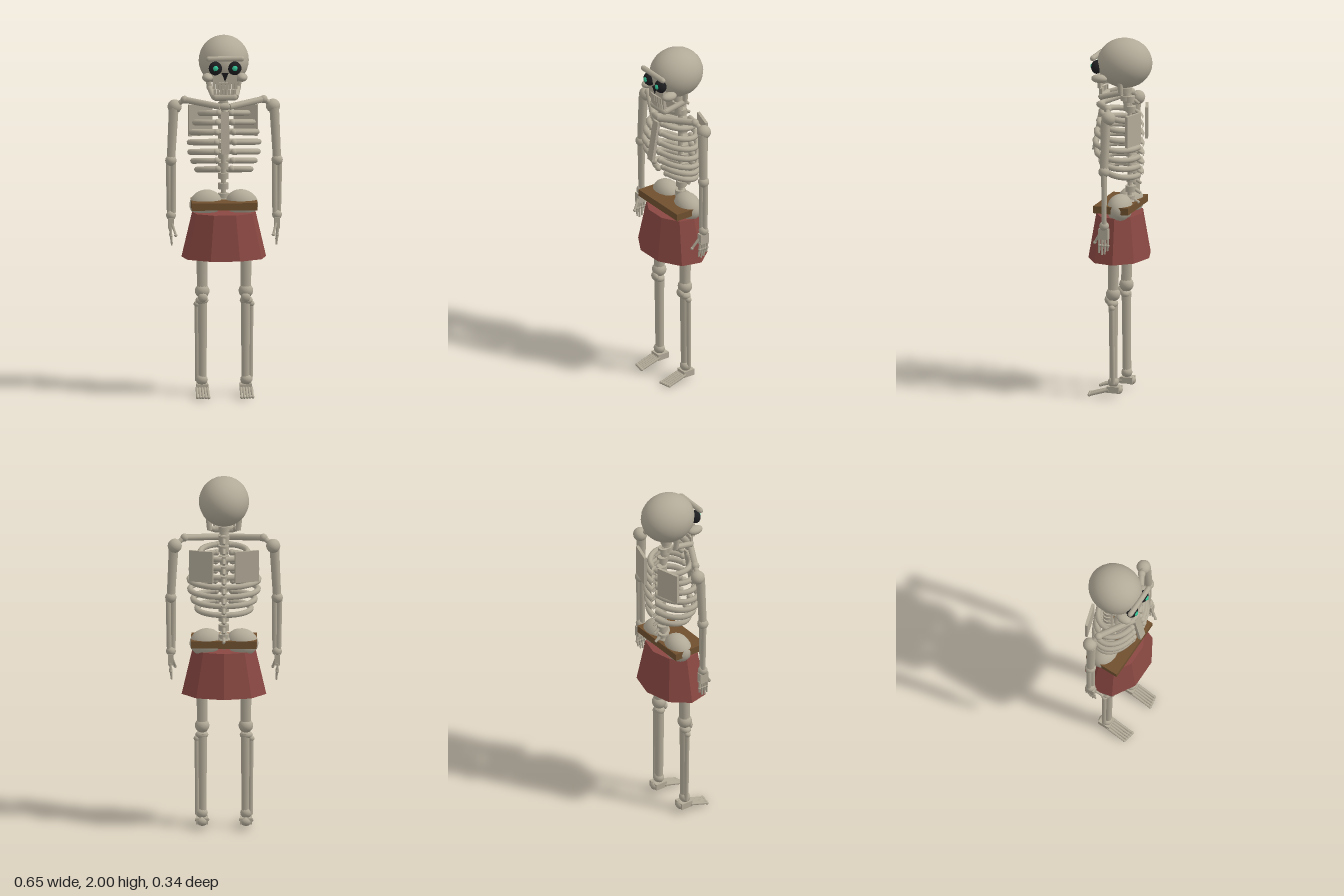
import * as THREE from 'three';

const V = (x, y, z) => new THREE.Vector3(x, y, z);
const mat = (name, color) => Object.assign(new THREE.MeshStandardMaterial({ color }), { name });

export function createModel() {
  const root = new THREE.Group();
  root.name = 'skeleton';
  const bone = mat('bone', 0xb2aa98);
  const dark = mat('socketBlack', 0x1d1d20);
  const glow = mat('eyeGreen', 0x35c295);
  const leather = mat('beltBrown', 0x70502f);
  const cloth = mat('skirtRed', 0x8a4842);
  cloth.flatShading = true;

  function add(name, geo, material, pos, rot = [0, 0, 0], scale = [1, 1, 1]) {
    const m = new THREE.Mesh(geo, material);
    m.name = name;
    m.position.set(...pos);
    m.rotation.set(...rot);
    m.scale.set(...scale);
    root.add(m);
    return m;
  }
  const ball = (name, pos, r, material = bone, rot) =>
    add(name, new THREE.SphereGeometry(1, 16, 12), material, pos, rot, Array.isArray(r) ? r : [r, r, r]);
  const box = (name, pos, size, material = bone, rot) => add(name, new THREE.BoxGeometry(...size), material, pos, rot);

  // Straight bone between two points, optionally tapered
  function rod(name, a, b, r0, r1 = r0, sides = 8) {
    const A = V(...a), B = V(...b), d = B.clone().sub(A);
    const m = add(name, new THREE.CylinderGeometry(r1, r0, d.length(), sides), bone,
      A.clone().add(B).multiplyScalar(0.5).toArray());
    m.quaternion.setFromUnitVectors(V(0, 1, 0), d.normalize());
    return m;
  }

  // Skull and face
  add('cranium', new THREE.SphereGeometry(1, 24, 16), bone, [0, 1.862, -0.017], [0, 0, 0], [0.138, 0.138, 0.153]);
  add('brow', new THREE.CapsuleGeometry(0.015, 0.18, 4, 8), bone, [0, 1.895, 0.14], [0, 0, Math.PI / 2]);
  box('upperJaw', [0, 1.778, 0.08], [0.13, 0.05, 0.08]);
  add('noseHole', new THREE.ConeGeometry(0.022, 0.05, 3), dark, [0, 1.79, 0.128], [Math.PI, 0, 0], [1, 1, 0.6]);
  add('chin', new THREE.CapsuleGeometry(0.02, 0.1, 4, 8), bone, [0, 1.675, 0.1], [0, 0, Math.PI / 2]);
  for (let i = 0; i < 8; i++) {
    const x = (i - 3.5) * 0.0175, z = 0.122 - x * x * 3;
    box('upperTooth', [x, 1.742, z], [0.014, 0.036, 0.016]);
    box('lowerTooth', [x * 0.9, 1.705, z - 0.008], [0.013, 0.03, 0.015]);
  }

  // Spine with backward processes
  for (let i = 0; i < 11; i++) {
    const y = 1.1 + i * 0.056, z = -0.045 - 0.02 * Math.sin((i / 10) * Math.PI);
    add('vertebra', new THREE.CylinderGeometry(0.03, 0.03, 0.034, 10), bone, [0, y, z]);
    rod('spinousProcess', [0, y, z - 0.02], [0, y - 0.022, z - 0.055], 0.011, 0.008, 6);
  }
  rod('spinalCord', [0, 1.06, -0.045], [0, 1.66, -0.045], 0.014);
  rod('neck', [0, 1.6, -0.035], [0, 1.78, -0.018], 0.024);
  for (const y of [1.665, 1.71]) add('neckVertebra', new THREE.CylinderGeometry(0.032, 0.032, 0.028, 10), bone, [0, y, -0.025]);

  // Breastbone
  box('sternum', [0, 1.48, 0.135], [0.045, 0.235, 0.02], bone, [-0.17, 0, 0]);
  ball('sternumTop', [0, 1.625, 0.115], [0.04, 0.02, 0.018]);

  // Rib rows: height, half width, front depth
  const ribs = [[1.57, 0.13, 0.105], [1.52, 0.16, 0.12], [1.467, 0.18, 0.132], [1.412, 0.19, 0.138],
    [1.357, 0.187, 0.13], [1.305, 0.17, 0.105], [1.255, 0.148, 0.08]];

  for (const s of [1, -1]) {
    // Face sides
    ball('eyeSocket', [s * 0.053, 1.84, 0.128], [0.037, 0.038, 0.03], dark);
    add('eyeGlow', new THREE.IcosahedronGeometry(0.018, 1), glow, [s * 0.053, 1.843, 0.146]);
    ball('cheekbone', [s * 0.095, 1.785, 0.1], [0.03, 0.024, 0.046]);
    rod('jawSide', [s * 0.06, 1.675, 0.1], [s * 0.078, 1.71, -0.02], 0.016);
    rod('jawHinge', [s * 0.078, 1.7, -0.018], [s * 0.088, 1.79, -0.015], 0.015);

    // Ribs curve from spine to breastbone
    for (const [y, w, front] of ribs) {
      const pts = [];
      for (let i = 0; i <= 8; i++) {
        const a = 0.08 + (i / 8) * 2.8;
        const mid = (front - 0.1) / 2, depth = (front + 0.1) / 2;
        pts.push(V(s * w * Math.sin(a), y - 0.018 * Math.cos(a), mid - depth * Math.cos(a)));
      }
      add('rib', new THREE.TubeGeometry(new THREE.CatmullRomCurve3(pts), 24, 0.016, 8), bone, [0, 0, 0]);
      ball('ribTip', pts[8].toArray(), 0.018);
    }

    // Shoulder girdle
    box('shoulderBlade', [s * 0.125, 1.515, -0.104], [0.135, 0.175, 0.016], bone, [0, s * -0.29, 0]);
    rod('collarbone', [s * 0.025, 1.625, 0.122], [s * 0.215, 1.648, 0.015], 0.018);
    ball('collarboneEnd', [s * 0.217, 1.648, 0.014], 0.022);
    rod('shoulderLink', [s * 0.217, 1.648, 0.014], [s * 0.262, 1.615, -0.005], 0.014);
    ball('shoulder', [s * 0.27, 1.607, -0.008], 0.039);

    // Arm
    rod('upperArm', [s * 0.276, 1.6, 0.005], [s * 0.291, 1.32, 0.01], 0.027, 0.023);
    ball('elbow', [s * 0.292, 1.31, 0.01], 0.031);
    rod('forearmInner', [s * 0.278, 1.3, 0.012], [s * 0.28, 1.02, 0.014], 0.015);
    rod('forearmOuter', [s * 0.306, 1.3, 0.008], [s * 0.3, 1.02, 0.006], 0.014);
    ball('wrist', [s * 0.291, 1.005, 0.01], 0.027);
    box('palm', [s * 0.291, 0.96, 0.012], [0.03, 0.06, 0.055]);
    for (let i = 0; i < 4; i++) {
      const z = -0.012 + i * 0.016, tip = [0.865, 0.845, 0.84, 0.85][i];
      const k = [s * 0.292, 0.895, z];
      rod('fingerBase', [s * 0.295, 0.94, z], k, 0.0075, 0.007, 6);
      ball('knuckle', k, 0.009);
      rod('fingerTip', k, [s * 0.287, tip, z + 0.004], 0.007, 0.005, 6);
    }
    rod('thumb', [s * 0.285, 0.96, 0.035], [s * 0.268, 0.905, 0.07], 0.008, 0.007, 6);
    ball('thumbTip', [s * 0.268, 0.903, 0.071], 0.009);

    // Hip and thigh
    ball('hipBone', [s * 0.1, 1.065, -0.02], [0.09, 0.075, 0.07], bone, [0, 0, s * -0.25]);
    rod('thigh', [s * 0.12, 1.0, 0.005], [s * 0.12, 0.6, 0.012], 0.034, 0.03, 10);
    ball('knee', [s * 0.12, 0.583, 0.012], 0.04);
    ball('kneecap', [s * 0.118, 0.55, 0.042], [0.026, 0.026, 0.018]);

    // Shin and ankle
    ball('shinHead', [s * 0.122, 0.53, 0.014], [0.036, 0.024, 0.03]);
    ball('calfHead', [s * 0.15, 0.51, 0.01], 0.017);
    rod('shin', [s * 0.118, 0.54, 0.012], [s * 0.118, 0.08, 0.01], 0.027, 0.022, 10);
    rod('calfBone', [s * 0.15, 0.51, 0.008], [s * 0.146, 0.08, 0.004], 0.012);
    ball('ankle', [s * 0.122, 0.088, 0.01], [0.033, 0.03, 0.03]);

    // Foot
    box('footBlock', [s * 0.12, 0.048, 0.005], [0.066, 0.035, 0.07]);
    ball('heel', [s * 0.12, 0.045, -0.018], [0.03, 0.024, 0.024]);
    for (let i = 0; i < 5; i++) {
      const x = s * (0.092 + i * 0.0145);
      const tip = [s * (0.09 + i * 0.0155), 0.012, 0.152 - i * 0.003];
      rod('toe', [x, 0.046, 0.03], tip, 0.009, 0.007, 6);
      ball('toeTip', tip, 0.009);
    }
  }

  // Tailbone, belt and nine-sided flared skirt
  ball('sacrum', [0, 1.07, -0.045], [0.045, 0.04, 0.035]);
  box('belt', [0, 1.065, 0.008], [0.36, 0.04, 0.2], leather);
  add('skirt', new THREE.CylinderGeometry(0.75, 1, 0.25, 9), cloth, [0, 0.895, 0.01], [0, Math.PI, 0], [0.236, 1, 0.167]);

  return root;
}
